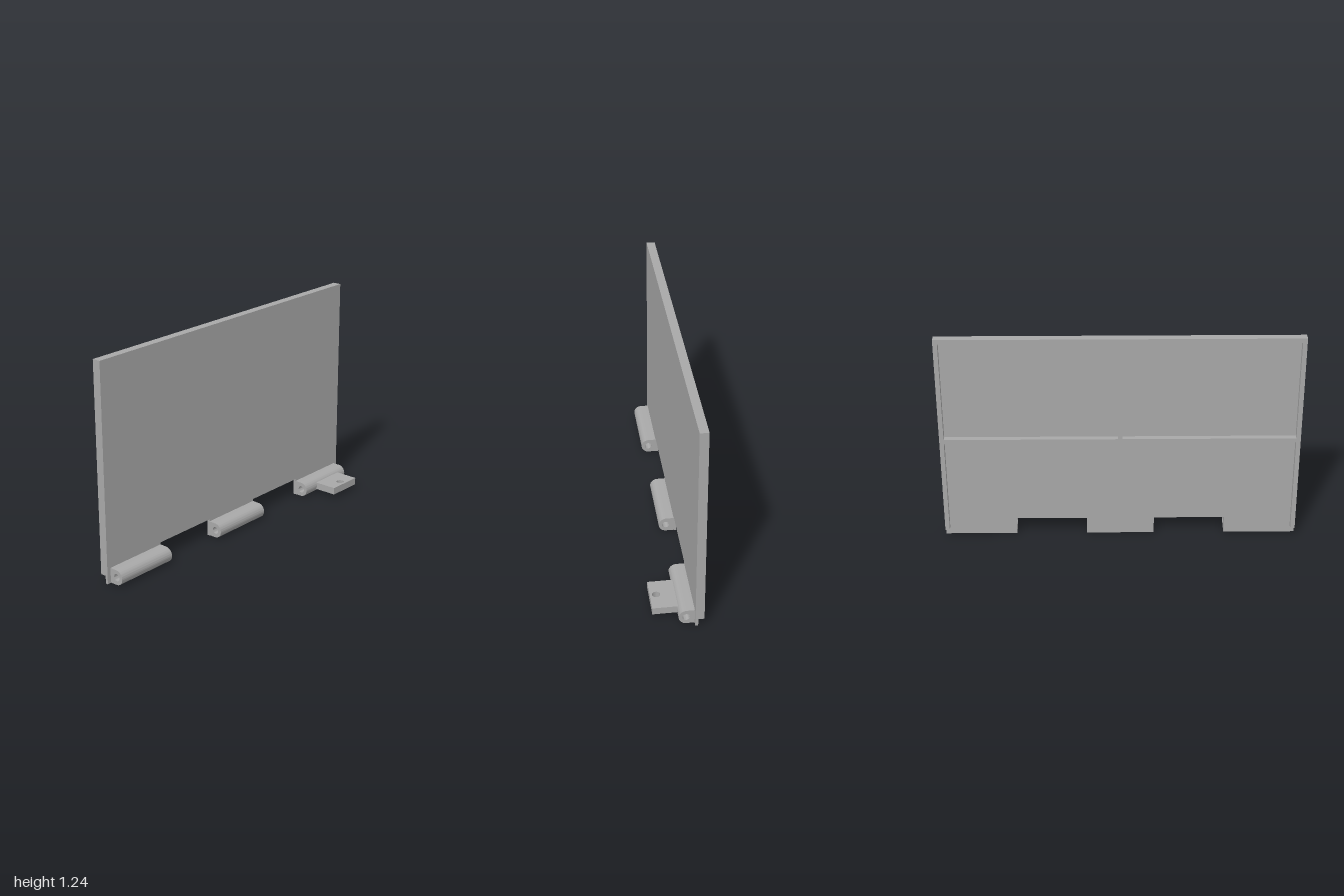
import * as THREE from 'three';
import { toCreasedNormals } from 'three/addons/utils/BufferGeometryUtils.js';

const FRONT = -0.085, SHEET_BACK = -0.1, RIB_BACK = -0.133;
const TOP = 1.24, RIB_BOTTOM = 0.045, RIB = 0.025;

export function createModel() {
  const group = new THREE.Group();
  const grey = new THREE.MeshStandardMaterial({ color: 0xa8a8a8 });
  grey.name = 'grey';

  const add = (name, geometry, x = 0, y = 0, z = 0) => {
    const mesh = new THREE.Mesh(geometry, grey);
    mesh.name = name;
    mesh.position.set(x, y, z);
    group.add(mesh);
    return mesh;
  };
  const extrude = (shape, depth) => toCreasedNormals(
    new THREE.ExtrudeGeometry(shape, { depth, bevelEnabled: false, curveSegments: 24 }), 0.5);
  const hole = (x, y, r) => new THREE.Path().absarc(x, y, r, 0, Math.PI * 2, true);
  const polygon = (points) => new THREE.Shape(points.map(([x, y]) => new THREE.Vector2(x, y)));

  // Thin sheet with two notches between the hinge knuckles
  const sheet = polygon([
    [-1, 0], [-0.595, 0], [-0.595, 0.1], [-0.193, 0.1], [-0.193, 0], [0.19, 0],
    [0.19, 0.1], [0.592, 0.1], [0.592, 0], [1, 0], [1, TOP], [-1, TOP],
  ]);
  add('panel', extrude(sheet, FRONT - SHEET_BACK), 0, 0, SHEET_BACK);

  // Rear frame and cross ribs, one plate with four window openings (lower ones open below)
  const h = RIB / 2, mid = 0.62, inner = 1 - RIB;
  const frame = polygon([
    [-1, RIB_BOTTOM], [-inner, RIB_BOTTOM], [-inner, mid - h], [-h, mid - h],
    [-h, RIB_BOTTOM], [h, RIB_BOTTOM], [h, mid - h], [inner, mid - h],
    [inner, RIB_BOTTOM], [1, RIB_BOTTOM], [1, TOP], [-1, TOP],
  ]);
  for (const [a, b] of [[-inner, -h], [h, inner]]) {
    frame.holes.push(polygon([[a, mid + h], [a, TOP - RIB], [b, TOP - RIB], [b, mid + h]]));
  }
  add('rearRibs', extrude(frame, SHEET_BACK - RIB_BACK), 0, 0, RIB_BACK);

  // Hinge knuckles: D-shaped section with a pin hole, extruded along x
  const axisY = 0.045, axisZ = -0.042, r = 0.043;
  const knuckle = new THREE.Shape();
  knuckle.moveTo(-FRONT, axisY - r);
  knuckle.lineTo(-FRONT, axisY + r);
  knuckle.lineTo(-axisZ, axisY + r);
  knuckle.absarc(-axisZ, axisY, r, Math.PI / 2, Math.PI * 1.5, false);
  knuckle.closePath();
  knuckle.holes.push(hole(0.039, axisY, 0.02));
  for (const [x0, x1] of [[-0.977, -0.595], [-0.193, 0.19], [0.592, 0.975]]) {
    add('hingeKnuckle', extrude(knuckle, x1 - x0), x0).rotation.y = Math.PI / 2;
  }

  // Drilled tab on the left knuckle
  const tab = polygon([[0.695, -0.133], [0.91, -0.133], [0.91, 0.01], [0.695, 0.01]]);
  tab.holes.push(hole(0.802, -0.098, 0.022));
  add('tab', extrude(tab, 0.042), 0, 0.025, 0).rotation.x = -Math.PI / 2;

  return group;
}
